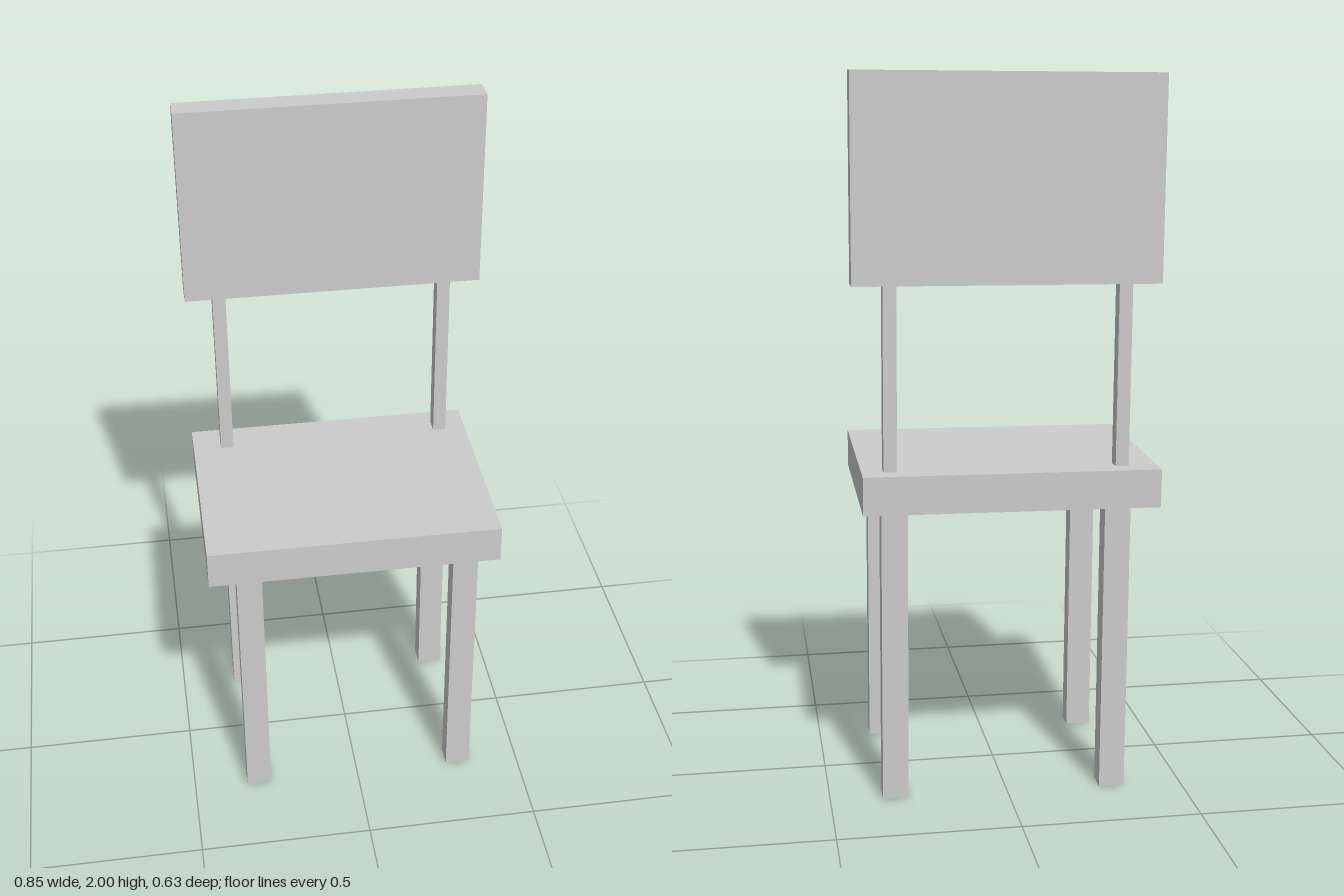
import * as THREE from 'three';

export function createModel() {
  const chair = new THREE.Group();
  chair.name = 'chair';
  const material = new THREE.MeshStandardMaterial({ color: 0xcccccc, flatShading: true });

  // every part shares the chair's very slight lean
  const lean = new THREE.Euler(-0.011, -0.0095, 0.006);

  function box(name, size, position) {
    const mesh = new THREE.Mesh(new THREE.BoxGeometry(...size), material);
    mesh.name = name;
    mesh.position.set(...position);
    mesh.rotation.copy(lean);
    chair.add(mesh);
  }

  box('seat', [0.82, 0.107, 0.618], [-0.013, 0.883, 0]);
  box('backPanel', [0.84, 0.557, 0.073], [-0.002, 1.719, -0.247]);

  for (const side of [-1, 1]) {
    const name = side > 0 ? 'left' : 'right';
    const skew = side * 0.003;

    // slim posts joining seat and back panel
    box(name + 'BackPost', [0.037, 0.56, 0.047], [-0.002 + side * 0.321, 1.19, -0.236 + skew]);

    // legs
    box(name + 'FrontLeg', [0.072, 0.84, 0.06], [0.002 + side * 0.309, 0.424 + skew * 0.6, 0.231 + skew]);
    box(name + 'BackLeg', [0.072, 0.84, 0.064], [0.006 + side * 0.309, 0.421 + skew * 0.6, -0.244 + skew]);
  }
  return chair;
}
